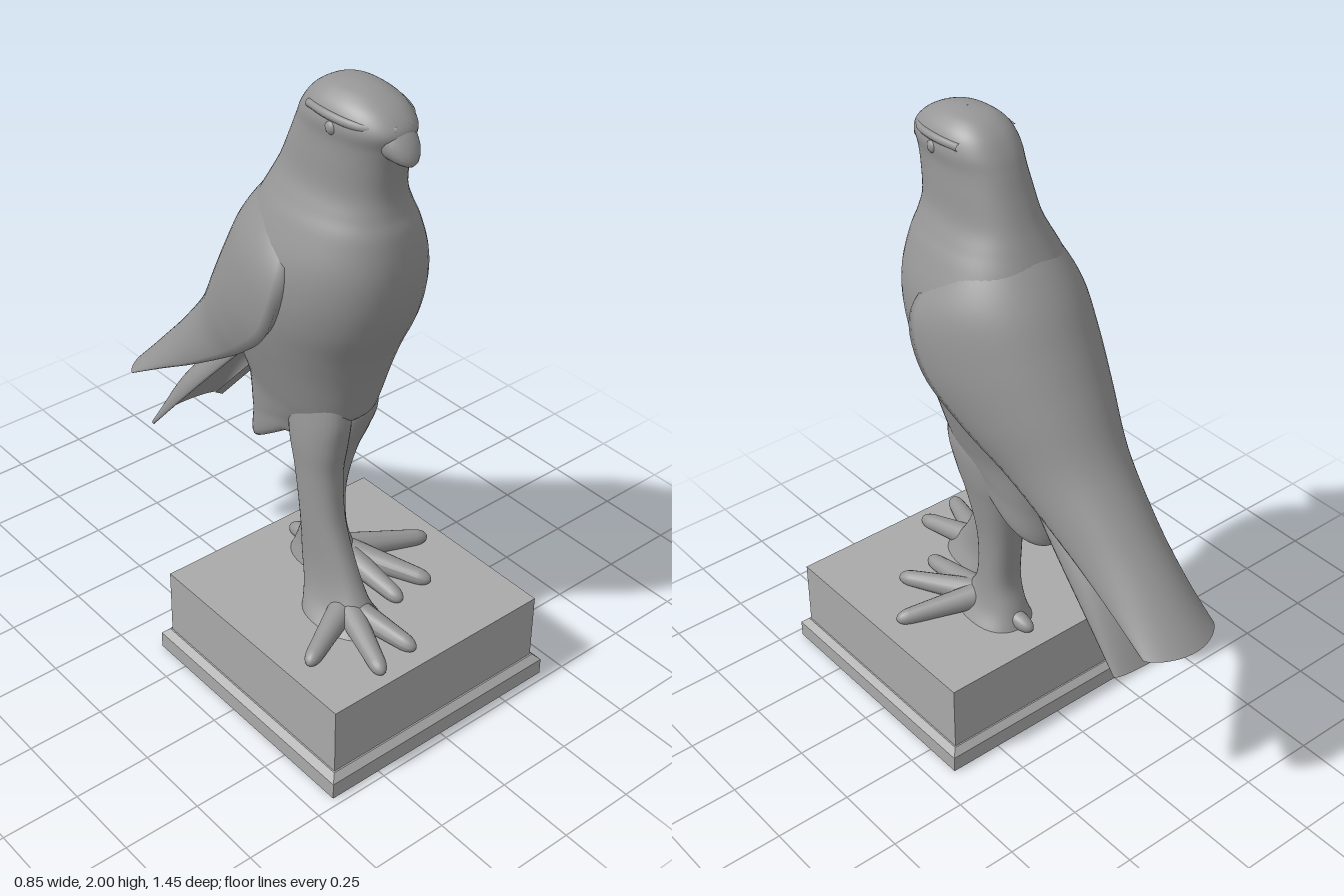
import * as THREE from 'three';

const stone = new THREE.MeshStandardMaterial({ color: 0xaaaaaa });
const plumage = new THREE.MeshStandardMaterial({ color: 0x969696 });
const thin = new THREE.MeshStandardMaterial({ color: 0x969696, side: THREE.DoubleSide });

// Smoothly resample rows of numbers (Catmull-Rom on every column)
function smoothRows(rows, steps) {
  const cr = (a, b, c, d, t) => {
    const m0 = (c - a) / 2, m1 = (d - b) / 2;
    return (2 * b - 2 * c + m0 + m1) * t ** 3 + (3 * c - 3 * b - 2 * m0 - m1) * t * t + m0 * t + b;
  };
  const last = rows.length - 1, out = [];
  for (let k = 0; k <= last * steps; k++) {
    const i = Math.min(Math.floor(k / steps), last - 1), t = k / steps - i;
    const a = rows[Math.max(i - 1, 0)], d = rows[Math.min(i + 2, last)];
    out.push(rows[i].map((b, c) => cr(a[c], b, rows[i + 1][c], d[c], t)));
  }
  return out;
}

// Skin a grid of points, optionally wrapping around each row
function skin(grid, closed) {
  const n = grid[0].length, index = [];
  for (let i = 0; i < grid.length - 1; i++) {
    for (let j = 0; j < (closed ? n : n - 1); j++) {
      const a = i * n + j, b = i * n + (j + 1) % n;
      index.push(a, b, a + n, b, b + n, a + n);
    }
  }
  const g = new THREE.BufferGeometry();
  g.setAttribute('position', new THREE.Float32BufferAttribute(grid.flat(2), 3));
  g.setIndex(index);
  g.computeVertexNormals();
  return g;
}

// Closed loft, rows from bottom to top: [y, zFront, zBack, halfWidth, xCentre, tilt]
function loft(rows, n = 48) {
  const grid = smoothRows(rows, 6).map(([y, zf, zb, hw, cx, tilt]) => {
    const zc = zb + 0.45 * (zf - zb), ring = [];
    for (let j = 0; j < n; j++) {
      const a = j / n * Math.PI * 2, s = Math.sin(a), c = Math.cos(a);
      const z = zc + Math.sign(c) * Math.abs(c) ** 0.88 * (c > 0 ? zf - zc : zc - zb);
      const x = cx + Math.sign(s) * Math.abs(s) ** 0.88 * Math.max(hw, 0.001);
      ring.push([x, y + tilt * Math.min(z, 0.1), z]);
    }
    return ring;
  });
  return skin(grid, true);
}

// Arched shell over the back: [zRidge, yRidge, zEdge, yEdge, halfWidth, archPower], with a tucked-in rim
function shell(rows, n = 36) {
  const grid = smoothRows(rows, 6).map(([zr, yr, ze, ye, hw, power]) => {
    const line = [];
    for (let j = 0; j <= n; j++) {
      const s = j / n * 2 - 1, f = Math.max(Math.cos(s * Math.PI / 2), 0) ** power;
      line.push([hw * Math.sin(s * 1.75), ye + (yr - ye) * f, ze + (zr - ze) * f]);
    }
    const rim = ([x, y, z]) => [x * 0.86, y + 0.008, z - 0.012];
    return [rim(line[0]), ...line, rim(line[n])];
  });
  return skin(grid, false);
}

// Rounded finger between two points, tapering from r0 to r1
function finger(from, to, r0, r1) {
  const a = new THREE.Vector3(...from), b = new THREE.Vector3(...to);
  const dir = b.clone().sub(a), len = dir.length();
  const g = new THREE.CapsuleGeometry(r0, len - r1, 8, 16, 6);
  const p = g.attributes.position;
  for (let i = 0; i < p.count; i++) {
    const t = THREE.MathUtils.clamp(p.getY(i) / len + 0.5, 0, 1);
    const k = 1 + (r1 / r0 - 1) * t;
    p.setX(i, p.getX(i) * k);
    p.setZ(i, p.getZ(i) * k);
  }
  g.computeVertexNormals();
  g.applyQuaternion(new THREE.Quaternion().setFromUnitVectors(new THREE.Vector3(0, 1, 0), dir.normalize()));
  const mid = a.add(b).multiplyScalar(0.5);
  return g.translate(mid.x, mid.y, mid.z);
}

export function createModel() {
  const model = new THREE.Group();
  const add = (name, geometry, mat = plumage) => {
    const mesh = new THREE.Mesh(geometry, mat);
    mesh.name = name;
    model.add(mesh);
  };

  // Pedestal: block, bevelled moulding and plinth
  add('pedestalBlock', new THREE.BoxGeometry(0.8, 0.25, 0.8).translate(0, 0.175, 0.3), stone);
  add('plinth', new THREE.BoxGeometry(0.85, 0.055, 0.85).translate(0, 0.0275, 0.3), stone);
  const bevel = new THREE.CylinderGeometry(0.405 * Math.SQRT2, 0.425 * Math.SQRT2, 0.02, 4).toNonIndexed();
  bevel.computeVertexNormals();
  add('plinthBevel', bevel.rotateY(Math.PI / 4).translate(0, 0.065, 0.3), stone);

  // Body and head in one continuous skin
  add('bodyAndHead', loft([
    [0.79, 0.13, 0.06, 0.01, 0, 0.5],
    [0.755, 0.19, -0.1, 0.105, 0, 0.7],
    [0.85, 0.25, -0.105, 0.125, 0, 0.35],
    [0.94, 0.325, -0.11, 0.14, 0, 0.1],
    [1.0, 0.347, -0.115, 0.155, 0, 0],
    [1.1, 0.375, -0.15, 0.185, 0, 0],
    [1.2, 0.41, -0.165, 0.212, 0, 0],
    [1.3, 0.455, -0.15, 0.23, 0, 0],
    [1.4, 0.48, -0.12, 0.235, 0, 0],
    [1.5, 0.485, -0.08, 0.222, 0, 0],
    [1.6, 0.47, -0.035, 0.185, 0, 0],
    [1.66, 0.45, -0.005, 0.155, 0, 0],
    [1.72, 0.44, 0.025, 0.13, 0, 0],
    [1.8, 0.448, 0.06, 0.12, 0, 0],
    [1.86, 0.462, 0.085, 0.115, 0, 0],
    [1.91, 0.474, 0.11, 0.117, 0, 0],
    [1.955, 0.435, 0.145, 0.1, 0, 0],
    [1.985, 0.375, 0.19, 0.066, 0, 0],
    [1.997, 0.325, 0.24, 0.03, 0, 0],
    [2.0, 0.285, 0.283, 0.001, 0, 0],
  ]));

  // Hooked beak: a stretched sphere whose tip droops
  const beak = new THREE.SphereGeometry(1, 24, 16).scale(0.064, 0.056, 0.1);
  const bp = beak.attributes.position;
  for (let i = 0; i < bp.count; i++) {
    const t = Math.max(bp.getZ(i), 0) / 0.1;
    bp.setY(i, bp.getY(i) - 0.045 * t * t);
  }
  beak.computeVertexNormals();
  add('beak', beak.translate(0, 1.887, 0.41));

  // Eyes and brow ridges
  for (const [side, s] of [['left', 1], ['right', -1]]) {
    add(side + 'Eye', new THREE.SphereGeometry(0.024, 16, 12).translate(s * 0.1, 1.9, 0.305));
    const brow = new THREE.CatmullRomCurve3([
      new THREE.Vector3(s * 0.098, 1.93, 0.2), new THREE.Vector3(s * 0.11, 1.932, 0.3),
      new THREE.Vector3(s * 0.085, 1.925, 0.395), new THREE.Vector3(s * 0.02, 1.92, 0.457),
    ]);
    add(side + 'Brow', new THREE.TubeGeometry(brow, 24, 0.012, 10));
  }

  // Folded wings meeting over the back, and the tail below them
  add('foldedWings', shell([
    [0.09, 1.72, 0.12, 1.68, 0.11, 1],
    [-0.005, 1.645, 0.22, 1.55, 0.19, 1],
    [-0.1, 1.53, 0.26, 1.42, 0.253, 1],
    [-0.175, 1.4, 0.2, 1.26, 0.258, 1],
    [-0.25, 1.26, 0.06, 1.13, 0.225, 1],
    [-0.34, 1.1, -0.1, 1.01, 0.178, 1],
    [-0.47, 0.94, -0.3, 0.875, 0.15, 1.1],
    [-0.6, 0.8, -0.48, 0.765, 0.14, 1.4],
    [-0.727, 0.665, -0.65, 0.66, 0.138, 1.8],
  ]), thin);
  add('tail', shell([
    [-0.14, 1.1, -0.08, 1.02, 0.13, 1],
    [-0.34, 0.87, -0.25, 0.835, 0.14, 1],
    [-0.45, 0.74, -0.4, 0.67, 0.142, 1],
    [-0.568, 0.53, -0.535, 0.52, 0.143, 1],
  ]), thin);

  // Legs with thighs running up into the body, the right one stepping forward
  add('rightLeg', loft([
    [0.3, 0.52, 0.24, 0.1, -0.1, 0],
    [0.36, 0.47, 0.215, 0.068, -0.092, 0],
    [0.45, 0.41, 0.19, 0.056, -0.085, 0],
    [0.6, 0.34, 0.18, 0.055, -0.083, 0],
    [0.75, 0.312, 0.15, 0.062, -0.074, 0],
    [0.85, 0.318, 0.12, 0.071, -0.066, 0],
    [0.95, 0.325, 0.1, 0.07, -0.058, 0],
    [1.05, 0.3, 0.1, 0.06, -0.05, 0],
    [1.15, 0.2, 0.15, 0.01, -0.04, 0],
  ], 32));
  add('leftLeg', loft([
    [0.3, 0.28, 0.0, 0.1, 0.05, 0],
    [0.36, 0.24, 0.025, 0.072, 0.042, 0],
    [0.45, 0.2, 0.055, 0.062, 0.036, 0],
    [0.6, 0.2, 0.045, 0.062, 0.036, 0],
    [0.75, 0.235, 0.03, 0.07, 0.046, 0],
    [0.85, 0.275, 0.02, 0.076, 0.055, 0],
    [0.95, 0.31, 0.03, 0.076, 0.058, 0],
    [1.05, 0.3, 0.06, 0.06, 0.05, 0],
    [1.15, 0.2, 0.15, 0.01, 0.04, 0],
  ], 32));

  // Toes: three forward and one back on each foot
  const feet = [
    ['right', [-0.1, 0.345, 0.39], [[-0.31, 0.49], [-0.185, 0.64], [-0.055, 0.62], [-0.08, 0.22]]],
    ['left', [0.06, 0.345, 0.17], [[0.31, 0.265], [0.185, 0.42], [0.065, 0.43], [0.04, -0.01]]],
  ];
  for (const [side, root, tips] of feet) {
    tips.forEach(([x, z], i) => {
      add(side + 'Toe' + (i + 1), finger(root, [x, 0.316, z], 0.044, 0.026));
    });
  }
  return model;
}
